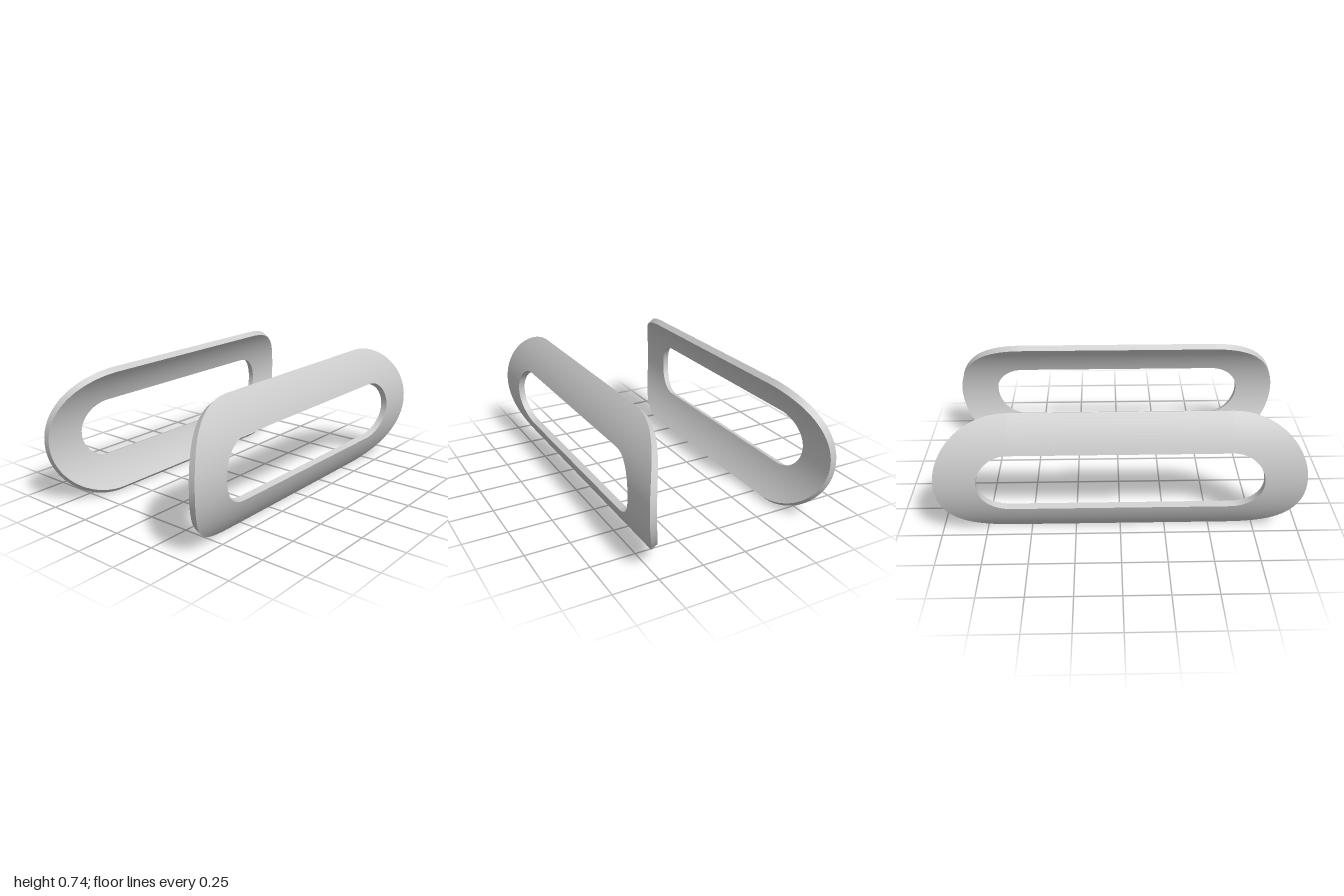
import * as THREE from 'three';
import { toCreasedNormals } from 'three/addons/utils/BufferGeometryUtils.js';

const OUTER_R = 0.55, INNER_R = 0.513;   // cylinder the plates are bent around
const HALF_STRAIGHT = 0.597;             // centres of the rounded ends
const RIM = 0.403, HOLE = 0.176;         // outline and slot radii, unrolled
const MID_Y = 0.368, ARC = 40, ACROSS = 12;

// Directions around an oblong outline: end centre x plus unit direction
function oblongStations() {
  const stations = [];
  for (const side of [1, -1]) {
    for (let i = 0; i <= ARC; i++) {
      const a = -Math.PI / 2 + (Math.PI * i) / ARC;
      stations.push([side * HALF_STRAIGHT, side * Math.cos(a), side * Math.sin(a)]);
    }
  }
  return stations;
}

// Oblong ring with a slot, bent around the x axis
function bentRingGeometry() {
  // Closed section: out along the outer face, back along the inner face
  const section = [];
  for (const [from, to, radius] of [[HOLE, RIM, OUTER_R], [RIM, HOLE, INNER_R]]) {
    for (let j = 0; j <= ACROSS; j++) {
      section.push([THREE.MathUtils.lerp(from, to, j / ACROSS), radius]);
    }
  }
  const stations = oblongStations();
  const positions = [], index = [];
  const m = section.length, n = stations.length;
  stations.forEach(([cx, dx, ds], i) => {
    section.forEach(([w, radius], j) => {
      const bend = (w * ds) / OUTER_R;
      positions.push(cx + w * dx, MID_Y + radius * Math.sin(bend), radius * Math.cos(bend));
      const i2 = (i + 1) % n, j2 = (j + 1) % m;
      const a = i * m + j, b = i * m + j2, c = i2 * m + j2, d = i2 * m + j;
      index.push(a, b, c, a, c, d);
    });
  });
  const geometry = new THREE.BufferGeometry();
  geometry.setAttribute('position', new THREE.Float32BufferAttribute(positions, 3));
  geometry.setIndex(index);
  return toCreasedNormals(geometry, Math.PI / 5);
}

export function createModel() {
  const model = new THREE.Group();
  model.name = 'curvedSlottedPlates';
  const material = new THREE.MeshStandardMaterial({ color: 0xcccccc });
  const geometry = bentRingGeometry();

  // Matching plates facing front and back
  const front = new THREE.Mesh(geometry, material);
  front.name = 'frontPlate';
  const back = new THREE.Mesh(geometry, material);
  back.name = 'backPlate';
  back.rotation.y = Math.PI;
  model.add(front, back);
  return model;
}
